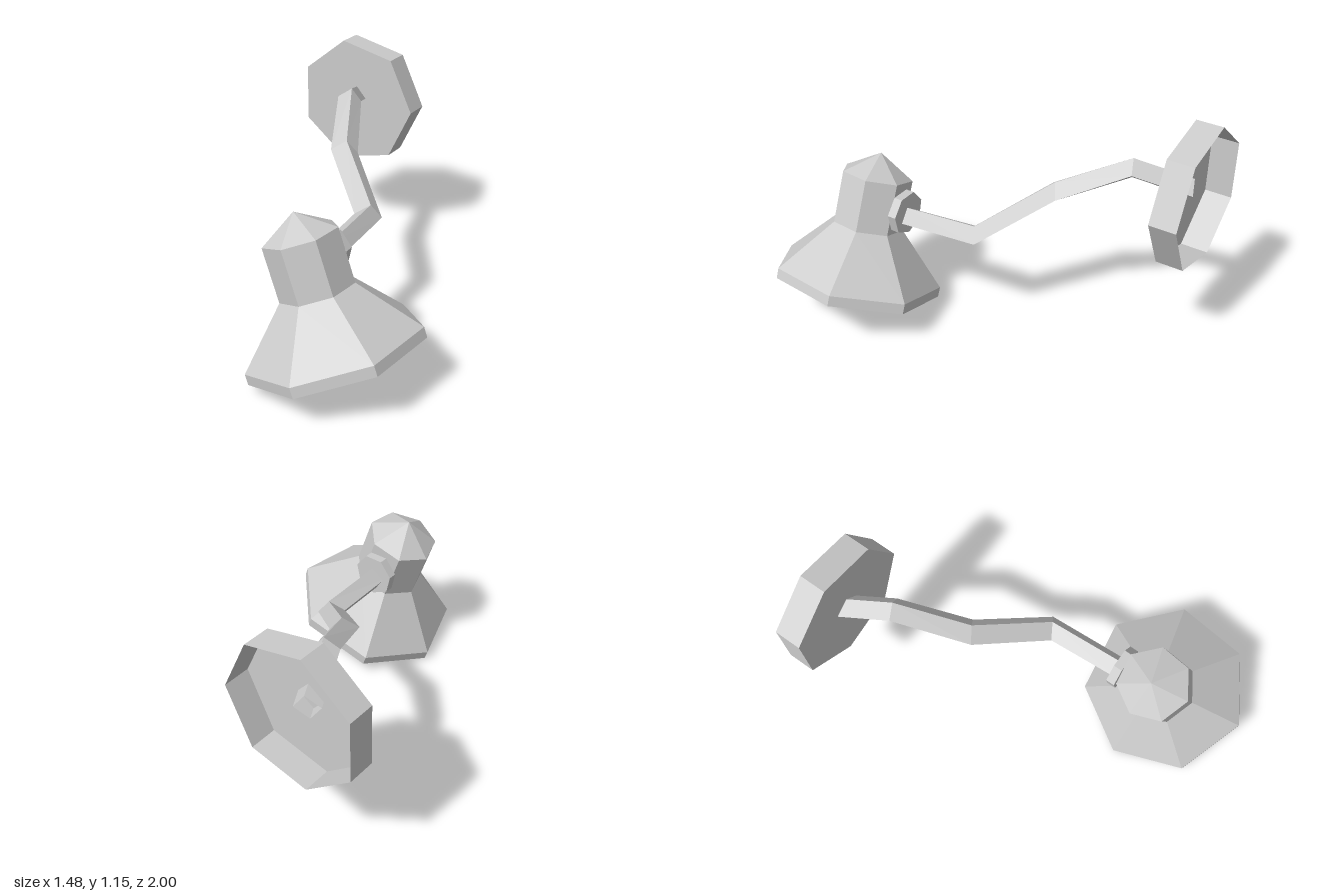
import * as THREE from 'three';

const SIDES = 7;
const grey = new THREE.MeshStandardMaterial({ color: 0xcccccc, flatShading: true });
const greyOpen = new THREE.MeshStandardMaterial({
  color: 0xcccccc, flatShading: true, side: THREE.DoubleSide,
});

function add(parent, name, geometry, material = grey) {
  const mesh = new THREE.Mesh(geometry, material);
  mesh.name = name;
  parent.add(mesh);
  return mesh;
}

function lathe(profile, phi) {
  const points = profile.map(([r, y]) => new THREE.Vector2(r, y));
  return new THREE.LatheGeometry(points, SIDES, phi);
}

// Square tube swept through [x, y, z, mitre] sections, open at both ends
function bentTube(sections) {
  const radius = 0.06, twist = THREE.MathUtils.degToRad(80);
  const positions = [], index = [];
  for (const [x, y, z, mitre] of sections) {
    for (let j = 0; j < 4; j++) {
      const a = twist + (j * Math.PI) / 2;
      const dx = radius * Math.cos(a);
      positions.push(x + dx, y + radius * Math.sin(a), z + mitre * dx);
    }
  }
  for (let i = 0; i < sections.length - 1; i++) {
    for (let j = 0; j < 4; j++) {
      const a = i * 4 + j, b = i * 4 + (j + 1) % 4;
      index.push(a, b, b + 4, a, b + 4, a + 4);
    }
  }
  const geometry = new THREE.BufferGeometry();
  geometry.setAttribute('position', new THREE.Float32BufferAttribute(positions, 3));
  geometry.setIndex(index);
  geometry.computeVertexNormals();
  return geometry;
}

export function createModel() {
  const model = new THREE.Group();
  model.name = 'wallLamp';

  // Wall plate: a shallow cup, open towards the wall
  const plate = lathe([[0.36, 0], [0.36, 0.14], [0, 0.14]], Math.PI / 2);
  plate.rotateX(Math.PI / 2);
  add(model, 'wallPlate', plate, greyOpen).position.set(-0.415, 0.8, -1);

  // Bent arm, its end reaching through the plate
  add(model, 'arm', bentTube([
    [-0.44, 0.82, -0.91, -0.4],
    [-0.32, 0.905, -0.64, -0.4],
    [-0.152, 0.745, -0.31, -0.65],
    [0.152, 0.557, -0.042, -0.6],
    [0.18, 0.54, 0.37, 0],
  ]), greyOpen);

  // Collar joining arm and shade
  const collar = new THREE.CylinderGeometry(0.112, 0.112, 0.046, SIDES);
  collar.rotateX(Math.PI / 2);
  add(model, 'collar', collar).position.set(0.18, 0.563, 0.365);

  // Tilted lamp head, origin at the centre of the rim
  const head = new THREE.Group();
  head.name = 'lampHead';
  head.position.set(0.353, 0.154, 0.57);
  head.rotation.set(-0.02, 0, THREE.MathUtils.degToRad(20.2));
  model.add(head);

  // Shade: hollow cone inside, then the outside from the rim up
  add(head, 'shade', lathe([
    [0, 0.3], [0.165, 0.3], [0.39, 0], [0.434, 0],
    [0.434, 0.053], [0.184, 0.32], [0.184, 0.59], [0, 0.704],
  ], THREE.MathUtils.degToRad(6)));

  // Faceted bulb standing on one corner
  const bulb = new THREE.IcosahedronGeometry(0.15);
  bulb.rotateZ(Math.atan(2 / (1 + Math.sqrt(5))));
  bulb.rotateY(Math.PI / 2);
  add(head, 'bulb', bulb).position.y = 0.13;

  return model;
}
